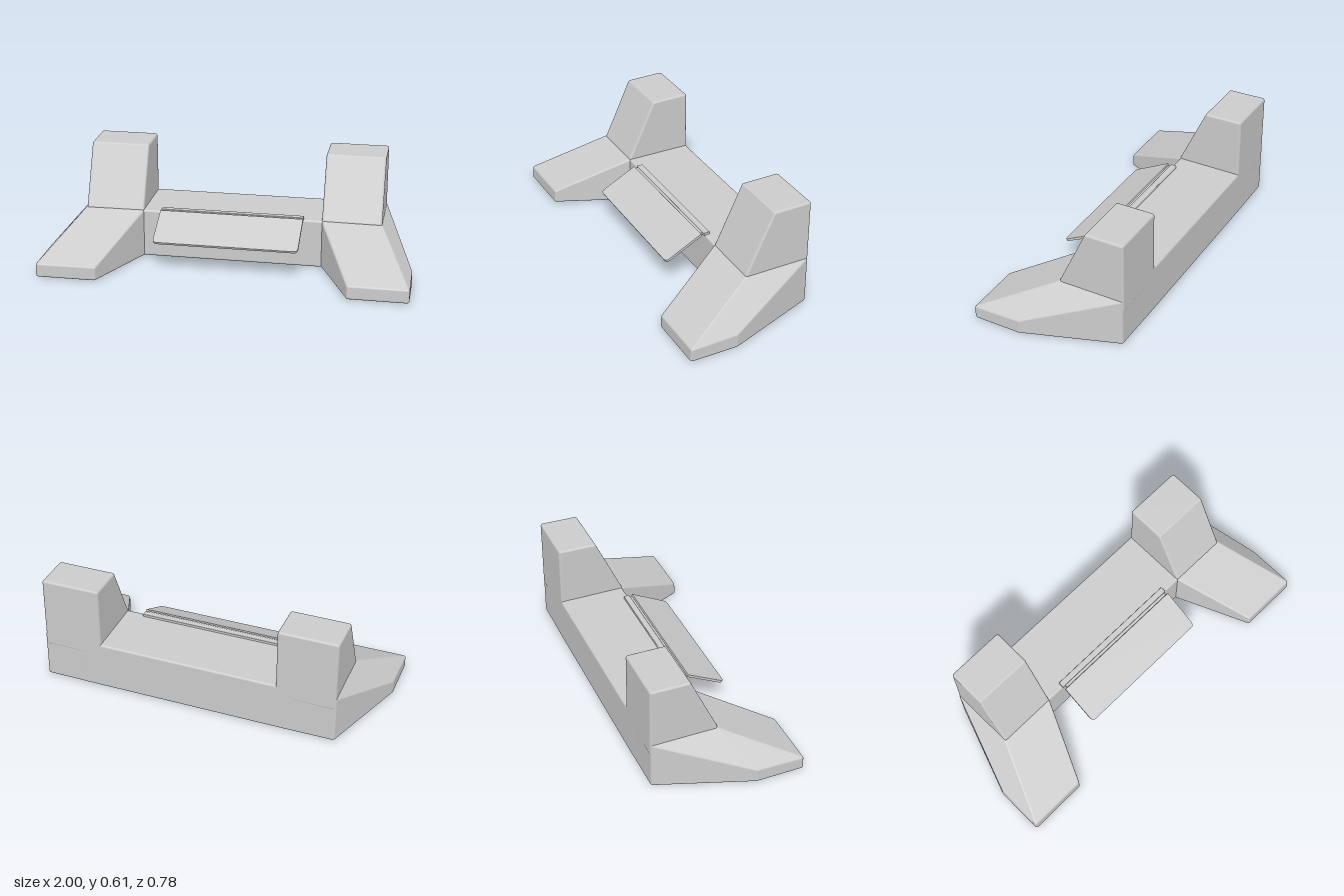
import * as THREE from 'three';
import { ConvexGeometry } from 'three/addons/geometries/ConvexGeometry.js';

const material = new THREE.MeshStandardMaterial({ color: 0xcccccc });

// Convex solid from its sharp corners, with all edges rounded to radius r
function roundedHull(corners, r) {
  const pts = corners.map(c => new THREE.Vector3(...c));
  const pos = new ConvexGeometry(pts).attributes.position;

  // distinct face planes of the sharp solid
  const planes = [];
  for (let i = 0; i < pos.count; i += 3) {
    const [a, b, c] = [0, 1, 2].map(k => new THREE.Vector3().fromBufferAttribute(pos, i + k));
    const plane = new THREE.Plane().setFromCoplanarPoints(a, b, c);
    if (!planes.some(q => q.normal.dot(plane.normal) > 0.999)) planes.push(plane);
  }

  // pull each corner inward, then spread points over a ball around it
  const skin = [];
  for (const corner of pts) {
    const near = planes.filter(q => Math.abs(q.distanceToPoint(corner)) < 0.003);
    const centre = corner.clone();
    for (let k = 0; k < 80; k++) {
      for (const q of near) {
        const d = q.distanceToPoint(centre) + r;
        if (d > 0) centre.addScaledVector(q.normal, -d);
      }
    }
    const normals = near.map(q => q.normal.clone());
    const all = new THREE.Vector3();
    near.forEach((q, i) => {
      all.add(q.normal);
      for (let j = i + 1; j < near.length; j++) {
        for (const t of [0.3, 0.5, 0.7]) normals.push(q.normal.clone().lerp(near[j].normal, t).normalize());
      }
    });
    normals.push(all.normalize());
    for (const n of normals) skin.push({ p: centre.clone().addScaledVector(n, r), n });
  }

  // hull of the rounded skin, with the exact smooth normals
  const geo = new ConvexGeometry(skin.map(s => s.p));
  const gp = geo.attributes.position, v = new THREE.Vector3();
  for (let i = 0; i < gp.count; i++) {
    v.fromBufferAttribute(gp, i);
    let best = skin[0];
    for (const s of skin) if (s.p.distanceToSquared(v) < best.p.distanceToSquared(v)) best = s;
    geo.attributes.normal.setXYZ(i, best.n.x, best.n.y, best.n.z);
  }
  return geo;
}

function addPart(parent, name, geometry) {
  const mesh = new THREE.Mesh(geometry, material);
  mesh.name = name;
  parent.add(mesh);
  return mesh;
}

const BACK = -0.388, FRONT = -0.02, TOE = 0.388, DECK = 0.27, TOP = 0.605;
const R = 0.012;

function boxCorners(x0, x1, y0, y1, z0, z1) {
  const out = [];
  for (const x of [x0, x1]) for (const y of [y0, y1]) for (const z of [z0, z1]) out.push([x, y, z]);
  return out;
}

// Splayed foot with a sloping top, and the upright tower on it
function createSide(side) {
  const group = new THREE.Group();
  group.name = side > 0 ? 'leftSide' : 'rightSide';
  const mirror = list => list.map(([x, y, z]) => [x * side, y, z]);

  const foot = [
    [0.495, 0, BACK], [0.82, 0, BACK], [1, 0, 0.12], [1, 0, TOE], [0.672, 0, TOE], [0.495, 0, FRONT],
    [0.495, DECK, BACK], [0.82, DECK, BACK], [1, 0.072, 0.12], [1, 0.072, TOE], [0.672, 0.072, TOE],
    [0.495, DECK, FRONT], [0.82, DECK, FRONT],
  ];
  addPart(group, 'foot', roundedHull(mirror(foot), R));

  const tower = [];
  for (const x of [0.495, 0.82]) {
    tower.push([x, 0.2, BACK], [x, 0.2, FRONT], [x, DECK, FRONT], [x, TOP, -0.175], [x, TOP, BACK]);
  }
  addPart(group, 'tower', roundedHull(mirror(tower), R));
  return group;
}

// Tilted plate with rounded front corners
function createPlate() {
  const w = 0.395, len = 0.235, c = 0.025;
  const shape = new THREE.Shape();
  shape.moveTo(-w, 0);
  shape.lineTo(-w, -len + c);
  shape.quadraticCurveTo(-w, -len, -w + c, -len);
  shape.lineTo(w - c, -len);
  shape.quadraticCurveTo(w, -len, w, -len + c);
  shape.lineTo(w, 0);
  shape.closePath();
  const geo = new THREE.ExtrudeGeometry(shape, { depth: 0.014, bevelEnabled: false, curveSegments: 8 });
  geo.rotateX(-Math.PI / 2 + 0.475);
  geo.translate(0, 0.271, -0.004);
  return geo;
}

export function createModel() {
  const model = new THREE.Group();
  model.name = 'dock';

  addPart(model, 'beam', roundedHull(boxCorners(-0.6, 0.6, 0, DECK, BACK, FRONT), R));
  model.add(createSide(1), createSide(-1));

  // Hinged plate on the front edge of the beam
  const hinge = new THREE.Group();
  hinge.name = 'hingedPlate';
  addPart(hinge, 'plate', createPlate());
  addPart(hinge, 'hingeStrip', roundedHull(boxCorners(-0.395, 0.395, 0.262, 0.284, -0.05, -0.017), 0.004));
  const pin = addPart(hinge, 'hingePin', new THREE.CylinderGeometry(0.008, 0.008, 0.76, 12));
  pin.rotation.z = Math.PI / 2;
  pin.position.set(0, 0.274, -0.01);
  model.add(hinge);
  return model;
}
